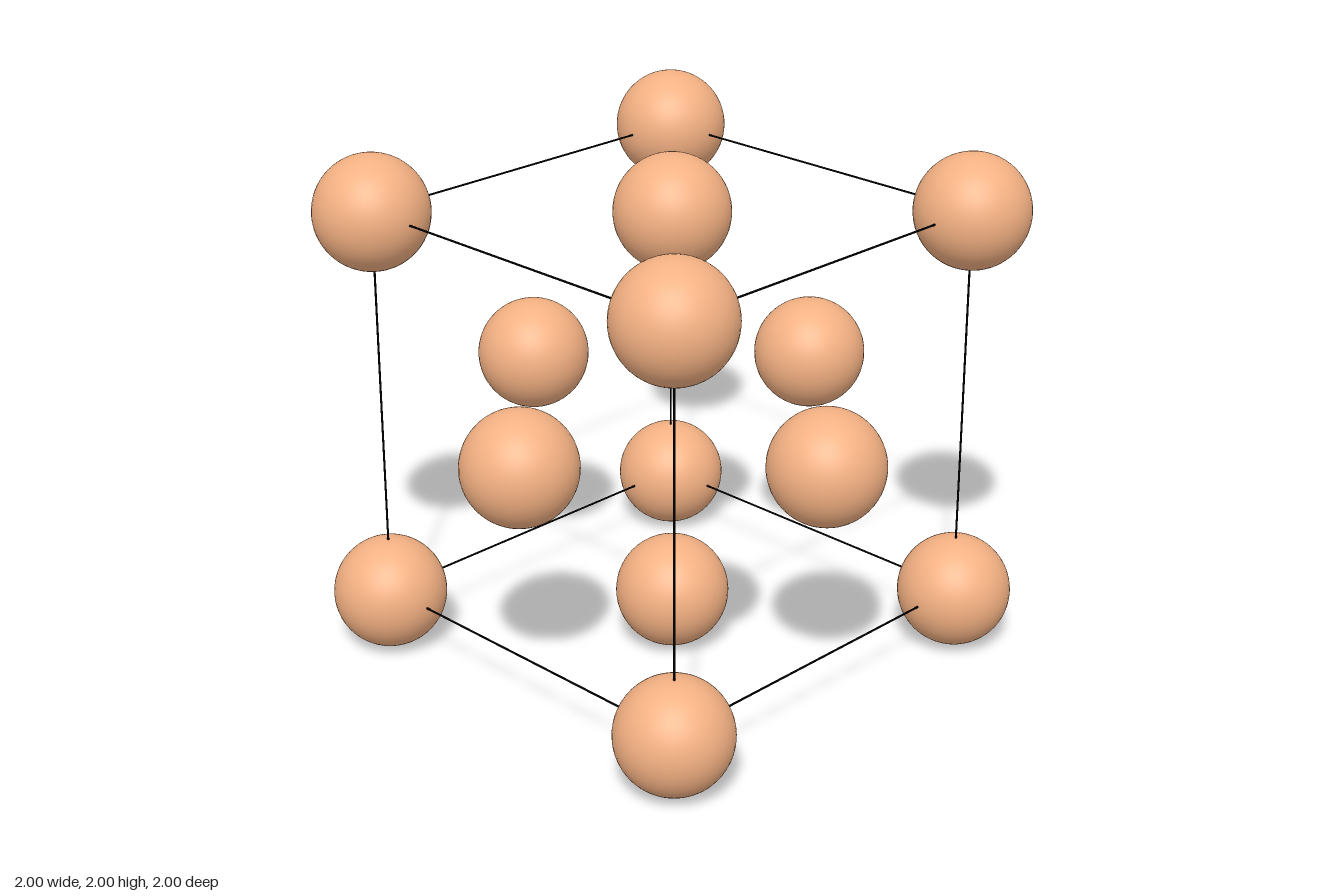
import * as THREE from 'three';

const RADIUS = 0.22; // sphere radius
const HALF = 0.78;   // half the cube edge
const ROD = 0.004;   // edge rod radius

export function createModel() {
  const model = new THREE.Group();
  model.name = 'faceCentredCubicCell';

  const atomMaterial = new THREE.MeshStandardMaterial({ color: 0xf4b183 });
  const rodMaterial = new THREE.MeshStandardMaterial({ color: 0x000000 });
  const atomGeometry = new THREE.SphereGeometry(RADIUS, 48, 32);
  const rodGeometry = new THREE.CylinderGeometry(ROD, ROD, 2 * HALF, 8);

  const addPart = (name, geometry, material, [x, y, z]) => {
    const mesh = new THREE.Mesh(geometry, material);
    mesh.name = name;
    mesh.position.set(x * HALF, 1 + y * HALF, z * HALF);
    model.add(mesh);
    return mesh;
  };

  // Walk the 3 x 3 x 3 lattice: the number of zero coordinates tells
  // corners (0), edge midpoints (1) and face centres (2) apart
  const steps = [-1, 0, 1];
  for (const x of steps) for (const y of steps) for (const z of steps) {
    const p = [x, y, z];
    const zeros = p.filter((v) => v === 0).length;
    if (zeros === 0) addPart('cornerAtom', atomGeometry, atomMaterial, p);
    if (zeros === 2) addPart('faceAtom', atomGeometry, atomMaterial, p);
    if (zeros === 1) {
      // Rod runs along the axis whose coordinate is zero
      const rod = addPart('edgeRod', rodGeometry, rodMaterial, p);
      if (x === 0) rod.rotation.z = Math.PI / 2;
      if (z === 0) rod.rotation.x = Math.PI / 2;
    }
  }
  return model;
}
